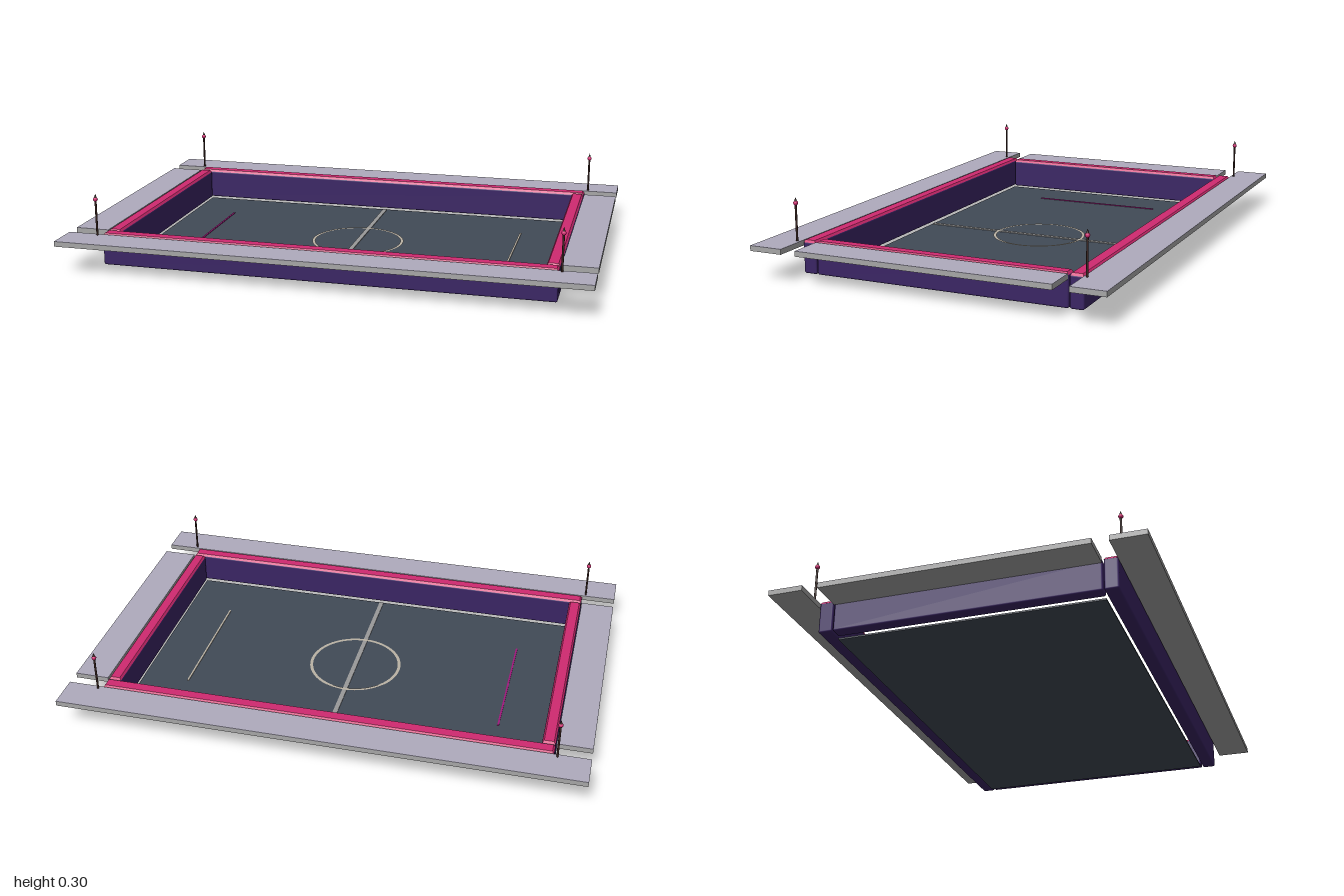
import * as THREE from 'three';
import { RoundedBoxGeometry } from 'three/addons/geometries/RoundedBoxGeometry.js';

const paint = (name, color) => {
  const m = new THREE.MeshStandardMaterial({ color });
  m.name = name;
  return m;
};

export function createModel() {
  const root = new THREE.Group();
  root.name = 'arena';

  const slate = paint('slate floor', 0x414a56);
  const purple = paint('purple wall', 0x3a2464);
  const pink = paint('pink trim', 0xd02a70);
  const grey = paint('grey deck', 0xa6a6a6);
  const lavender = paint('lavender deck top', 0xafabbd);
  const lineGrey = paint('centre line grey', 0x999999);
  const cream = paint('cream marking', 0xbab2a4);
  const magenta = paint('magenta marking', 0xa0187c);
  const bronze = paint('dark post', 0x38231f);

  const add = (name, geometry, material, x = 0, y = 0, z = 0, parent = root) => {
    const mesh = new THREE.Mesh(geometry, material);
    mesh.name = name;
    mesh.position.set(x, y, z);
    parent.add(mesh);
    return mesh;
  };
  const box = (w, h, d) => new THREE.BoxGeometry(w, h, d);

  // Box whose top face is drawn in on all four sides
  const chamferedCap = (w, h, d, inset) => {
    const g = box(w, h, d).toNonIndexed();
    const p = g.attributes.position;
    for (let i = 0; i < p.count; i++) {
      if (p.getY(i) > 0) {
        p.setX(i, p.getX(i) - Math.sign(p.getX(i)) * inset);
        p.setZ(i, p.getZ(i) - Math.sign(p.getZ(i)) * inset);
      }
    }
    g.computeVertexNormals();
    return g;
  };

  // Playing floor and its markings
  add('floor', box(1.63, 0.006, 0.985), slate, 0, 0.003, 0);
  add('centreLine', box(0.018, 0.003, 0.98), lineGrey, 0, 0.0075, 0);
  const ring = new THREE.RingGeometry(0.174, 0.186, 64).rotateX(-Math.PI / 2);
  add('centreCircle', ring, cream, 0, 0.0095, 0);
  add('leftGoalLine', box(0.007, 0.003, 0.54), cream, 0.63, 0.0075, 0);
  add('rightGoalLine', box(0.007, 0.003, 0.54), magenta, -0.63, 0.0075, 0);

  // A wall with its coloured trim along the top
  const wall = (name, w, d, x, z) => {
    const g = new THREE.Group();
    g.name = name;
    g.position.set(x, 0, z);
    add('wallBody', new RoundedBoxGeometry(w, 0.119, d, 2, 0.007), purple, 0, 0.0705, 0, g);
    add('wallTrim', chamferedCap(w - 0.002, 0.009, d - 0.002, 0.006), pink, 0, 0.1315, 0, g);
    root.add(g);
  };

  // A walkway slab with a thin tinted top
  const deck = (name, w, d, x, z) => {
    const g = new THREE.Group();
    g.name = name;
    g.position.set(x, 0, z);
    add('deckSlab', box(w, 0.018, d), grey, 0, 0.122, 0, g);
    add('deckTop', box(w, 0.002, d), lavender, 0, 0.132, 0, g);
    root.add(g);
  };

  for (const s of [1, -1]) {
    const end = s > 0 ? 'front' : 'back';
    const side = s > 0 ? 'left' : 'right';
    wall(end + 'Wall', 1.73, 0.052, 0, s * 0.523);
    wall(side + 'Wall', 0.05, 0.985, s * 0.84, 0);
    deck(end + 'Deck', 2, 0.13, 0, s * 0.617);
    deck(side + 'Deck', 0.132, 0.985, s * 0.934, 0);

    // Corner posts with a small bead and pointed tip
    for (const t of [1, -1]) {
      const post = new THREE.Group();
      post.name = end + (t > 0 ? 'Left' : 'Right') + 'Post';
      post.position.set(t * 0.878, 0, s * 0.565);
      add('postShaft', new THREE.CylinderGeometry(0.004, 0.004, 0.16, 10), bronze, 0, 0.195, 0, post);
      add('postBead', new THREE.SphereGeometry(0.009, 12, 8), pink, 0, 0.274, 0, post);
      add('postTip', new THREE.ConeGeometry(0.007, 0.02, 10), bronze, 0, 0.286, 0, post);
      root.add(post);
    }
  }
  return root;
}
